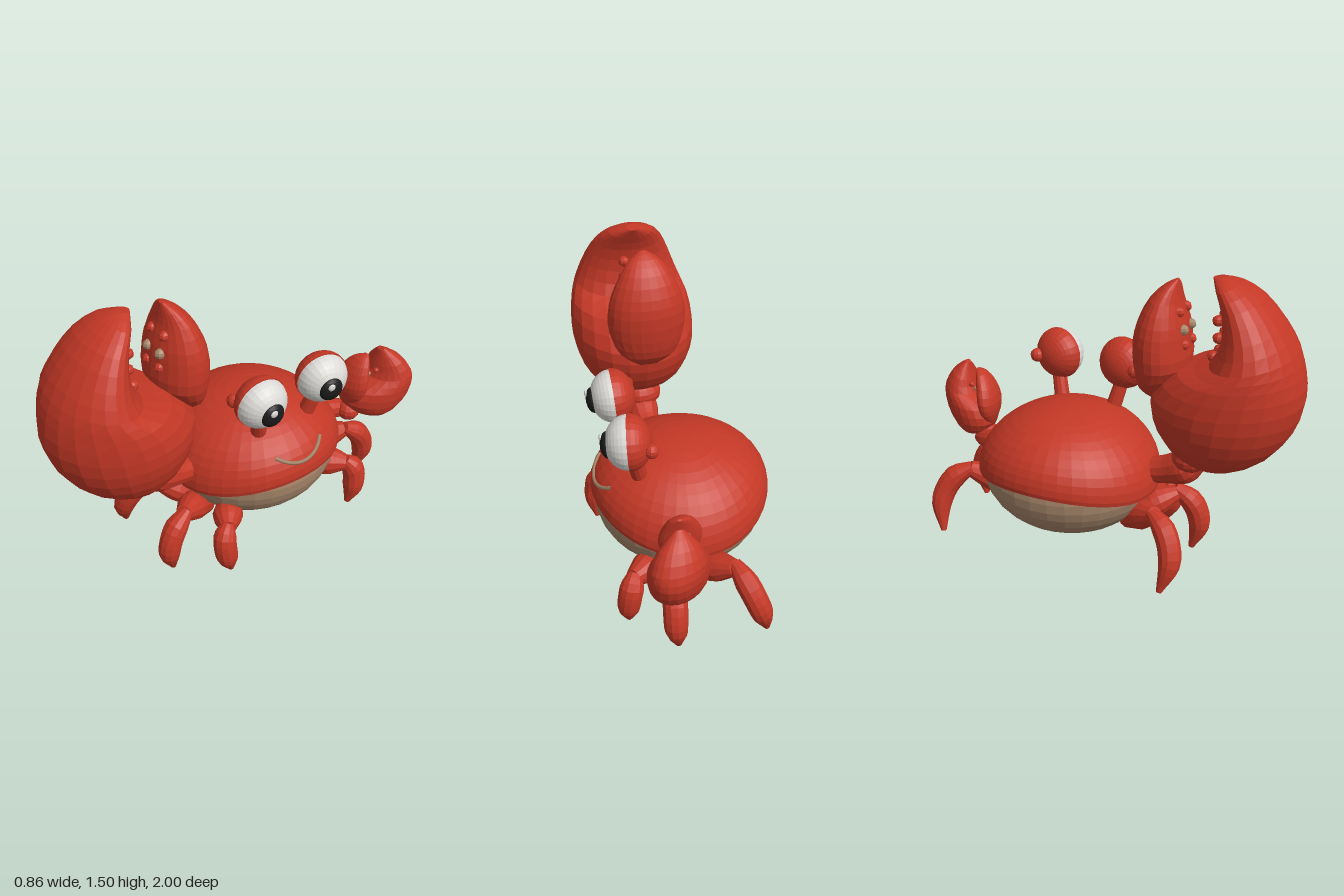
import * as THREE from 'three';

const red = new THREE.MeshStandardMaterial({ color: 0xc43826 });
red.name = 'shell red';
const tan = new THREE.MeshStandardMaterial({ color: 0xa6866a });
tan.name = 'belly tan';
const white = new THREE.MeshStandardMaterial({ color: 0xdcdad6 });
white.name = 'eye white';
const black = new THREE.MeshStandardMaterial({ color: 0x1b1b1b });
black.name = 'pupil black';

const V = (x, y, z) => new THREE.Vector3(x, y, z);
const MID = -0.14; // z of the body's mirror plane

function add(parent, name, geo, mat, pos) {
  const mesh = new THREE.Mesh(geo, mat);
  mesh.name = name;
  if (pos) mesh.position.copy(pos);
  parent.add(mesh);
  return mesh;
}

// Faceted normals
function facet(geo) {
  const g = geo.index ? geo.toNonIndexed() : geo;
  g.computeVertexNormals();
  return g;
}

// Closed skin over a list of rings, turned so that it faces outward
function skin(rings) {
  const n = rings[0].length, pos = [], idx = [];
  const mean = r => r.reduce((s, p) => s.add(p), V(0, 0, 0)).divideScalar(n);
  const pts = [...rings.flat(), mean(rings[0]), mean(rings.at(-1))];
  pts.forEach(p => pos.push(p.x, p.y, p.z));
  const first = rings.length * n, last = first + 1, end = first - n;
  for (let j = 0; j < n; j++) {
    const k = (j + 1) % n;
    for (let i = 0; i < rings.length - 1; i++) {
      const a = i * n + j, b = i * n + k;
      idx.push(a, b, b + n, a, b + n, a + n);
    }
    idx.push(first, k, j, last, end + j, end + k);
  }
  let volume = 0;
  for (let i = 0; i < idx.length; i += 3) {
    volume += pts[idx[i]].dot(V(0, 0, 0).crossVectors(pts[idx[i + 1]], pts[idx[i + 2]]));
  }
  if (volume < 0) idx.reverse();
  const g = new THREE.BufferGeometry();
  g.setAttribute('position', new THREE.Float32BufferAttribute(pos, 3));
  g.setIndex(idx);
  return facet(g);
}

// Claw finger: each station is [outer z, outer y, inner z, inner y, half width]
function finger(stations, centreX) {
  const outer = new THREE.CatmullRomCurve3(stations.map(s => V(s[0], s[1], s[4])));
  const inner = new THREE.CatmullRomCurve3(stations.map(s => V(s[2], s[3], s[4])));
  const rings = [], steps = (stations.length - 1) * 2, sides = 22;
  for (let i = 0; i <= steps; i++) {
    const o = outer.getPoint(i / steps), q = inner.getPoint(i / steps);
    const ring = [];
    for (let j = 0; j < sides; j++) {
      const a = j / sides * Math.PI * 2, c = Math.cos(a) / 2;
      const z = (o.x + q.x) / 2 + (o.x - q.x) * c;
      const y = (o.y + q.y) / 2 + (o.y - q.y) * c;
      ring.push(V(centreX(z) + o.z * Math.sin(a), y, z));
    }
    rings.push(ring);
  }
  return skin(rings);
}

// Round limb segment through points with a radius at each one
function limb(points, radii) {
  const curve = new THREE.CatmullRomCurve3(points.map(p => V(...p)));
  const steps = (points.length - 1) * 4, sides = 12;
  const frames = curve.computeFrenetFrames(steps);
  const size = new THREE.CatmullRomCurve3(radii.map(r => V(r, 0, 0)));
  const rings = [];
  for (let i = 0; i <= steps; i++) {
    const p = curve.getPointAt(i / steps), r = size.getPoint(curve.getUtoTmapping(i / steps)).x;
    rings.push(Array.from({ length: sides }, (_, j) => {
      const a = j / sides * Math.PI * 2;
      return p.clone().addScaledVector(frames.normals[i], r * Math.cos(a))
        .addScaledVector(frames.binormals[i], r * Math.sin(a));
    }));
  }
  return skin(rings);
}

const ball = (rx, ry, rz, w = 20, h = 14) => facet(new THREE.SphereGeometry(1, w, h).scale(rx, ry, rz));

// Domed shell whose rim rises toward the face and the back
function shellGeometry() {
  const rings = [], n = 40;
  const ring = (s, lift, drop) => Array.from({ length: n }, (_, j) => {
    const a = j / n * Math.PI * 2, rim = 0.395 + 0.085 * Math.cos(a) ** 2;
    return V(0.43 * s * Math.cos(a), rim + (0.745 - rim) * lift - drop, MID + 0.465 * s * Math.sin(a));
  });
  for (let i = 0; i <= 12; i++) {
    const t = 0.03 + (Math.PI / 2 - 0.03) * i / 12;
    rings.push(ring(Math.sin(t), Math.cos(t), 0));
  }
  rings.push(ring(0.99, 0, 0.022), ring(0.9, 0, 0.018));
  return skin(rings);
}

function eye(parent, name, centre, look, base, bumpZ) {
  const g = new THREE.Group();
  g.name = name;
  parent.add(g);
  add(g, 'eyeStalk', limb([base, [centre.x - 0.02, centre.y - 0.08, centre.z]], [0.04, 0.035]), red);
  add(g, 'eyeBump', ball(0.035, 0.035, 0.035, 10, 8), red, V(centre.x - 0.085, centre.y, centre.z + bumpZ));
  const globe = new THREE.Group();
  globe.name = 'eyeball';
  globe.position.copy(centre);
  globe.lookAt(centre.clone().add(look));
  g.add(globe);
  const half = r => new THREE.SphereGeometry(1, 24, 9, 0, Math.PI * 2, 0, Math.PI / 2).scale(r, 0.108, r);
  add(globe, 'eyelid', facet(half(0.132).rotateX(-Math.PI / 2)), red);
  add(globe, 'eyelidRim', new THREE.RingGeometry(0.1, 0.132, 24), red);
  add(globe, 'eyeWhite', facet(half(0.127).rotateX(Math.PI / 2)), white);
  add(globe, 'pupil', ball(0.06, 0.063, 0.035), black, V(0, -0.005, 0.092));
  add(globe, 'glint', ball(0.019, 0.019, 0.008, 10, 6), white, V(-0.012, 0.027, 0.122));
}

export function createModel() {
  const model = new THREE.Group();
  model.name = 'crab';

  // Body
  add(model, 'shell', shellGeometry(), red);
  add(model, 'belly', ball(0.415, 0.315, 0.44, 32, 20), tan, V(0, 0.42, MID));

  // Mouth follows the shell surface
  const smile = [];
  for (let i = 0; i <= 8; i++) {
    const u = i / 4 - 1, d = 0.14 * u, y = 0.55 + 0.05 * u * u;
    const s = Math.sqrt(1 - ((y - 0.475) / 0.27) ** 2);
    smile.push(V(0.43 * Math.sqrt(s * s - (d / 0.465) ** 2), y, MID + d));
  }
  add(model, 'mouth', new THREE.TubeGeometry(new THREE.CatmullRomCurve3(smile), 24, 0.01, 6), tan);

  // Eyes
  eye(model, 'rightEye', V(0.28, 0.9, 0.03), V(1, -0.08, 0.08), [0.22, 0.65, -0.01], 0.09);
  eye(model, 'leftEye', V(0.285, 0.885, -0.335), V(1, -0.06, 0.24), [0.22, 0.63, -0.29], -0.09);

  // Big claw and its arm
  const big = new THREE.Group();
  big.name = 'bigClaw';
  model.add(big);
  add(big, 'upperArm', limb([[0.04, 0.46, 0.24], [0.045, 0.49, 0.36], [0.045, 0.53, 0.46], [0.045, 0.57, 0.54]],
    [0.06, 0.07, 0.085, 0.04]), red);
  add(big, 'wrist', ball(0.11, 0.08, 0.095, 14, 10), red, V(0.045, 0.6, 0.49));
  add(big, 'palm', finger([
    [0.63, 0.588, 0.56, 0.59, 0.04], [0.76, 0.615, 0.45, 0.635, 0.17], [0.87, 0.69, 0.36, 0.71, 0.245],
    [0.96, 0.82, 0.3, 0.83, 0.3], [1.0, 0.97, 0.3, 0.93, 0.315], [0.985, 1.1, 0.42, 1.06, 0.3],
    [0.95, 1.2, 0.57, 1.12, 0.27], [0.88, 1.31, 0.62, 1.24, 0.225], [0.78, 1.42, 0.61, 1.36, 0.17],
    [0.68, 1.48, 0.575, 1.44, 0.11], [0.61, 1.5, 0.55, 1.49, 0.03]], () => 0.045), red);
  add(big, 'pincer', finger([
    [0.28, 0.89, 0.32, 0.88, 0.05], [0.23, 0.95, 0.38, 0.96, 0.14], [0.205, 1.05, 0.46, 1.06, 0.185],
    [0.2, 1.18, 0.455, 1.16, 0.19], [0.22, 1.27, 0.44, 1.26, 0.17], [0.27, 1.37, 0.41, 1.36, 0.12],
    [0.33, 1.43, 0.4, 1.42, 0.07], [0.38, 1.46, 0.395, 1.455, 0.015]], () => 0.04), red);
  for (const x of [0, 0.09]) {
    for (const [z, y] of [[0.44, 1.17], [0.435, 1.24], [0.41, 1.32]]) {
      add(big, 'pincerTooth', ball(0.025, 0.025, 0.03, 8, 6), y === 1.24 ? tan : red, V(x, y, z));
    }
    for (const [z, y] of [[0.585, 1.14], [0.605, 1.23], [0.6, 1.31]]) {
      add(big, 'palmTooth', ball(0.028, 0.025, 0.03, 8, 6), red, V(x, y, z));
    }
  }

  // Small claw and its arm, slanting toward the face
  const small = new THREE.Group();
  small.name = 'smallClaw';
  model.add(small);
  const slant = z => 0.18 - 0.3 * (z + 0.82);
  add(small, 'upperArm', limb([[0.05, 0.43, -0.5], [0.06, 0.42, -0.6], [0.08, 0.4, -0.68], [0.1, 0.39, -0.74]],
    [0.05, 0.055, 0.05, 0.03]), red);
  add(small, 'wrist', ball(0.06, 0.055, 0.06, 12, 8), red, V(0.13, 0.41, -0.7));
  add(small, 'palm', finger([
    [-0.82, 0.382, -0.78, 0.383, 0.02], [-0.89, 0.41, -0.71, 0.415, 0.1], [-0.96, 0.48, -0.66, 0.48, 0.135],
    [-1.0, 0.58, -0.68, 0.56, 0.14], [-0.985, 0.65, -0.785, 0.62, 0.125], [-0.93, 0.73, -0.81, 0.69, 0.09],
    [-0.85, 0.785, -0.83, 0.77, 0.02]], slant), red);
  add(small, 'pincer', finger([
    [-0.66, 0.48, -0.69, 0.475, 0.03], [-0.64, 0.54, -0.73, 0.54, 0.085], [-0.635, 0.6, -0.745, 0.62, 0.1],
    [-0.66, 0.68, -0.755, 0.69, 0.08], [-0.71, 0.745, -0.765, 0.74, 0.045], [-0.76, 0.765, -0.77, 0.76, 0.01]],
  slant), red);
  for (const dx of [-0.035, 0.035]) {
    add(small, 'pincerTooth', ball(0.014, 0.014, 0.016, 8, 6), tan, V(slant(-0.75) + dx, 0.66, -0.755));
    add(small, 'palmTooth', ball(0.014, 0.014, 0.016, 8, 6), red, V(slant(-0.8) + dx, 0.67, -0.795));
  }

  // Three pairs of legs: thigh and foot points as x, y, distance from the mirror plane
  const legs = [
    ['backLeg', [[-0.01, 0.2, 0.33], [-0.06, 0.27, 0.42], [-0.13, 0.33, 0.52]],
      [[-0.13, 0.345, 0.5], [-0.17, 0.28, 0.59], [-0.22, 0.16, 0.64], [-0.27, 0.005, 0.61]]],
    ['middleLeg', [[0.05, 0.19, 0.33], [0.09, 0.26, 0.43], [0.15, 0.31, 0.53]],
      [[0.16, 0.33, 0.51], [0.175, 0.26, 0.6], [0.18, 0.15, 0.64], [0.16, 0.005, 0.61]]],
    ['frontLeg', [[0.18, 0.22, 0.26], [0.24, 0.25, 0.33], [0.32, 0.26, 0.39]],
      [[0.31, 0.28, 0.38], [0.335, 0.22, 0.42], [0.35, 0.12, 0.42], [0.345, 0.005, 0.39]]],
  ];
  for (const side of [1, -1]) {
    for (const [name, thigh, foot] of legs) {
      const g = new THREE.Group();
      g.name = (side > 0 ? 'right ' : 'left ') + name;
      model.add(g);
      const place = pts => pts.map(([x, y, d]) => [x, y, MID + side * d]);
      add(g, 'thigh', limb(place(thigh), [0.055, 0.075, 0.04]), red);
      add(g, 'foot', limb(place(foot), [0.03, 0.058, 0.056, 0.014]), red);
    }
  }
  return model;
}
